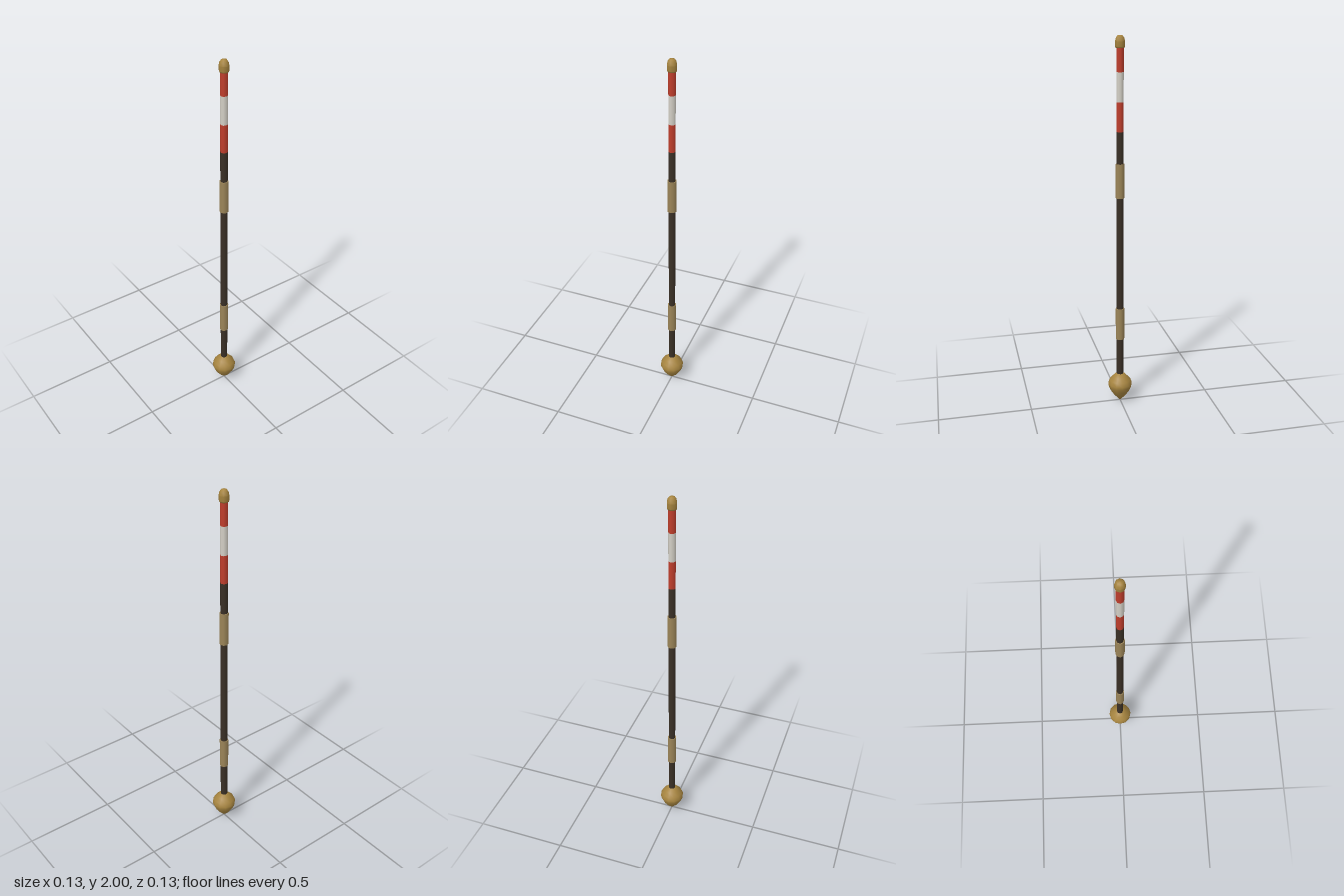
import * as THREE from 'three';

export function createModel() {
  const group = new THREE.Group();
  const mat = (name, color) => {
    const m = new THREE.MeshStandardMaterial({ color });
    m.name = name;
    return m;
  };
  const darkWood = mat('dark wood', 0x3a3026);
  const cord = mat('tan cord', 0x9c8558);
  const brass = mat('brass', 0xa6843f);
  const red = mat('red paint', 0xc03e2c);
  const white = mat('white paint', 0xd4d0c6);

  const add = (name, geometry, material, y = 0) => {
    const mesh = new THREE.Mesh(geometry, material);
    mesh.name = name;
    mesh.position.y = y;
    group.add(mesh);
  };
  // Upright cylinder between two heights
  const rod = (name, y0, y1, radius, material, open = false) =>
    add(name, new THREE.CylinderGeometry(radius, radius, y1 - y0, 8, 1, open), material, (y0 + y1) / 2);
  const lathe = (name, points, sides, material) =>
    add(name, new THREE.LatheGeometry(points.map(([x, y]) => new THREE.Vector2(x, y)), sides), material);

  // Shaft and its painted bands
  const r = 0.019;
  rod('shaft', 0.14, 1.52, r, darkWood);
  rod('lowerRedBand', 1.52, 1.67, r, red, true);
  rod('whiteBand', 1.67, 1.82, r, white, true);
  rod('upperRedBand', 1.82, 1.95, r, red, true);

  // Wrapped hand grips
  rod('lowerGrip', 0.375, 0.553, 0.024, cord);
  rod('upperGrip', 1.173, 1.353, 0.024, cord);

  // Pointed bulb at the foot
  lathe('bulb', [
    [0, 0], [0.012, 0.011], [0.035, 0.037], [0.054, 0.066], [0.064, 0.09],
    [0.066, 0.106], [0.058, 0.127], [0.04, 0.147], [0.022, 0.165], [0, 0.168],
  ], 12, brass);

  // Rounded end cap
  lathe('endCap', [[0, 1.937], [0.022, 1.937], [0.025, 1.945], [0.025, 1.97]], 8, brass);
  lathe('endCapDome', [[0.025, 1.97], [0.022, 1.985], [0.014, 1.997], [0, 2]], 8, brass);

  return group;
}
